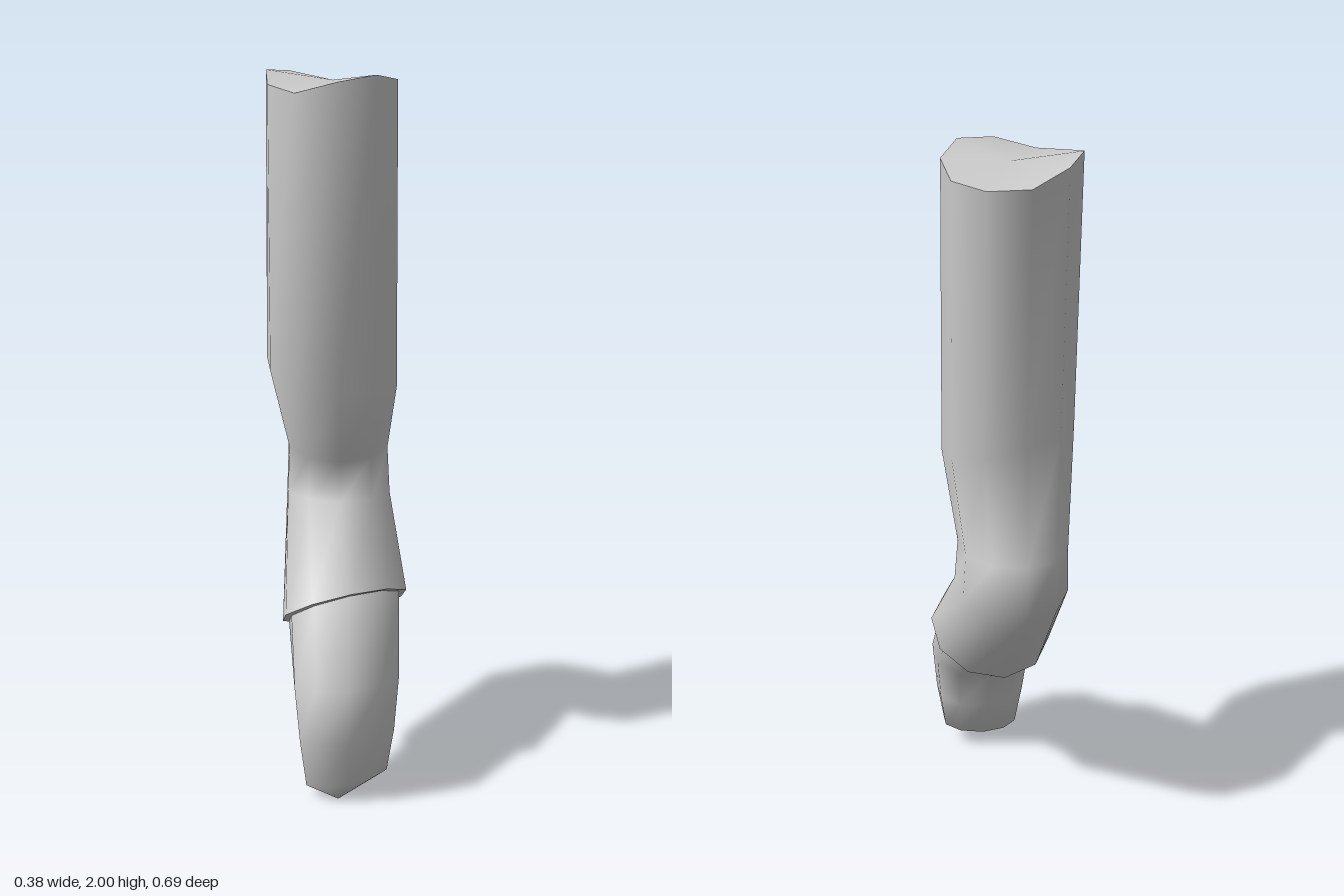
import * as THREE from 'three';

const SIDES = 10;

// One cross-section: front and back points as [y, z], width from x0 to x1.
// tiltY / tiltZ shift the +x side against the -x side; lift adds a height per corner.
function ring(front, back, x0, x1, { shift = 0, tiltY = 0, tiltZ = 0, lift = null } = {}) {
  const pts = [];
  const rx = (x1 - x0) / 2 / Math.cos(Math.PI / SIDES);
  for (let k = 0; k < SIDES; k++) {
    const a = (k / SIDES) * Math.PI * 2;
    const t = (1 - Math.cos(a)) / 2, s = Math.sin(a);
    pts.push(new THREE.Vector3(
      (x0 + x1) / 2 + rx * s + shift * Math.cos(a),
      THREE.MathUtils.lerp(front[0], back[0], t) + tiltY * s + (lift ? lift[k] : 0),
      THREE.MathUtils.lerp(front[1], back[1], t) + tiltZ * s
    ));
  }
  return pts;
}

// Smooth skin through rings listed from top to bottom, with an optional end point.
function loft(rings, tip) {
  const pos = [], idx = [];
  rings.forEach(r => r.forEach(p => pos.push(p.x, p.y, p.z)));
  for (let i = 0; i < rings.length - 1; i++) {
    for (let k = 0; k < SIDES; k++) {
      const n = (k + 1) % SIDES;
      const a = i * SIDES + k, b = i * SIDES + n, c = a + SIDES, d = b + SIDES;
      idx.push(c, d, b, c, b, a);
    }
  }
  if (tip) {
    const e = pos.length / 3, base = e - SIDES;
    pos.push(...tip);
    for (let k = 0; k < SIDES; k++) idx.push(e, base + (k + 1) % SIDES, base + k);
  }
  return build(pos, idx);
}

// Fan that closes a ring from above.
function cap(r, centre) {
  const pos = [...centre], idx = [];
  r.forEach((p, k) => {
    pos.push(p.x, p.y, p.z);
    idx.push(0, k + 1, (k + 1) % SIDES + 1);
  });
  return build(pos, idx);
}

function build(pos, idx) {
  const g = new THREE.BufferGeometry();
  g.setAttribute('position', new THREE.Float32BufferAttribute(pos, 3));
  g.setIndex(idx);
  g.computeVertexNormals();
  return g;
}

export function createModel() {
  const group = new THREE.Group();
  const material = new THREE.MeshStandardMaterial({ color: 0xcccccc, side: THREE.DoubleSide });
  const add = (name, geometry) => {
    const mesh = new THREE.Mesh(geometry, material);
    mesh.name = name;
    group.add(mesh);
  };

  // Sleeve: uneven shoulder edge, upper arm, bent elbow, forearm
  const shoulder = ring([0, 0.12], [0, -0.255], -0.18, 0.172, {
    shift: -0.01,
    lift: [1.985, 2.0, 1.98, 1.955, 1.95, 1.955, 1.99, 2.0, 1.97, 1.955],
  });
  const cuff = ring([0.59, 0.21], [0.41, -0.07], -0.16, 0.19, { tiltY: 0.025, tiltZ: -0.015 });
  add('sleeve', loft([
    shoulder,
    ring([1.15, 0.145], [1.2, -0.175], -0.188, 0.167, { tiltY: -0.03 }),
    ring([0.91, 0.0], [0.94, -0.345], -0.115, 0.168, { shift: -0.015, tiltZ: 0.02 }),
    ring([0.8, 0.03], [0.77, -0.34], -0.122, 0.172, { shift: -0.015, tiltZ: 0.02 }),
    cuff,
  ]));
  add('shoulderCap', cap(shoulder, [0, 1.975, -0.07]));

  // Cuff rim: the narrow step between sleeve and hand
  const wrist = ring([0.575, 0.185], [0.42, -0.045], -0.143, 0.17, { tiltY: 0.025, tiltZ: -0.015 });
  add('cuffRim', loft([cuff, wrist]));

  // Hand: tapers from the wrist to a blunt, off-centre tip
  add('hand', loft([
    ring([0.62, 0.16], [0.47, -0.06], -0.14, 0.165, { tiltY: 0.02 }),
    wrist,
    ring([0.36, 0.348], [0.31, 0.09], -0.146, 0.148, { shift: -0.01, tiltY: 0.01 }),
    ring([0.19, 0.337], [0.18, 0.125], -0.133, 0.135, { shift: -0.01, tiltY: 0.01 }),
    ring([0.055, 0.312], [0.05, 0.168], -0.115, 0.115, { shift: -0.01, tiltY: 0.018 }),
  ], [-0.03, 0.0, 0.285]));

  return group;
}
